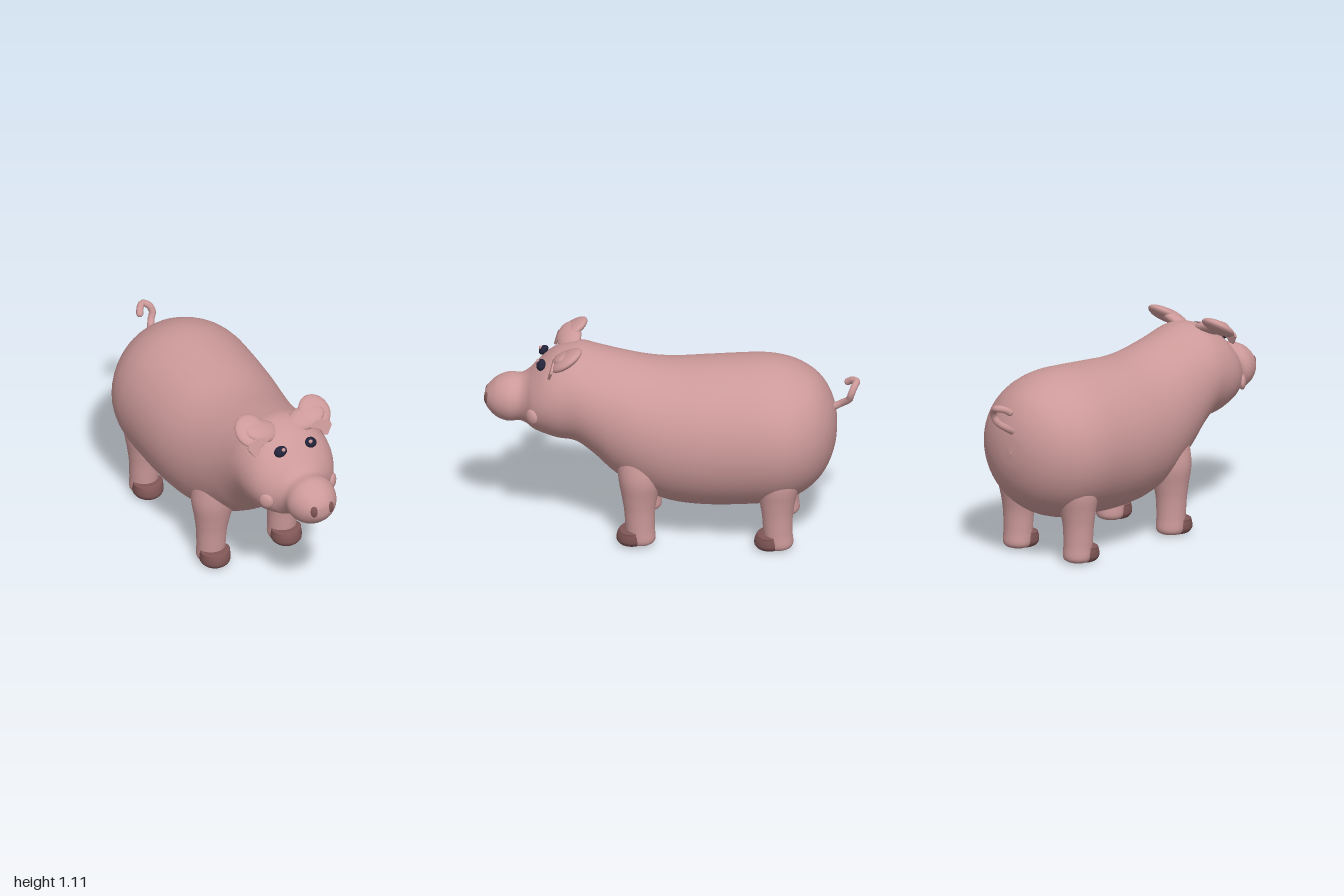
import * as THREE from 'three';

const mat = (name, color, side = THREE.FrontSide) => {
  const m = new THREE.MeshStandardMaterial({ color, side });
  m.name = name;
  return m;
};

// Smooth closed loft. Each key: [cx, cy, cz, ru, rv]; u and v span the ring, u x v points along the keys.
function loft(keys, u, v, rings, sides) {
  const centres = new THREE.CatmullRomCurve3(keys.map(k => new THREE.Vector3(k[0], k[1], k[2])), false, 'catmullrom', 0.5);
  const radii = new THREE.CatmullRomCurve3(keys.map(k => new THREE.Vector3(k[3], k[4], 0)), false, 'catmullrom', 0.5);
  const pos = [], index = [];
  for (let i = 0; i <= rings; i++) {
    const c = centres.getPoint(i / rings), r = radii.getPoint(i / rings);
    for (let j = 0; j < sides; j++) {
      const a = j / sides * Math.PI * 2;
      const p = c.clone().addScaledVector(u, r.x * Math.cos(a)).addScaledVector(v, r.y * Math.sin(a));
      pos.push(p.x, p.y, p.z);
      if (i < rings) {
        const n = (j + 1) % sides, a0 = i * sides + j, b0 = i * sides + n;
        index.push(a0, b0, b0 + sides, a0, b0 + sides, a0 + sides);
      }
    }
  }
  const g = new THREE.BufferGeometry();
  g.setAttribute('position', new THREE.Float32BufferAttribute(pos, 3));
  g.setIndex(index);
  g.computeVertexNormals();
  return g;
}

const X = new THREE.Vector3(1, 0, 0), Y = new THREE.Vector3(0, 1, 0), Z = new THREE.Vector3(0, 0, 1);

export function createModel() {
  const model = new THREE.Group();
  model.name = 'pig';
  const skin = mat('pink skin', 0xcc9999);
  const hoofMat = mat('dark hoof', 0x805656);
  const eyeMat = mat('eye navy', 0x23233a);

  const add = (name, geo, material) => {
    const m = new THREE.Mesh(geo, material);
    m.name = name;
    model.add(m);
    return m;
  };
  const blob = (name, material, p, s, r = [0, 0, 0]) => {
    const m = add(name, new THREE.SphereGeometry(1, 24, 16), material);
    m.position.set(...p);
    m.scale.set(...s);
    m.rotation.set(...r);
    return m;
  };

  // Body, neck, head and snout: [z, top, bottom, half width]
  const profile = [
    [-0.876, 0.621, 0.619, 0.001], [-0.865, 0.73, 0.52, 0.1], [-0.83, 0.825, 0.415, 0.2], [-0.77, 0.905, 0.325, 0.285],
    [-0.68, 0.962, 0.255, 0.355], [-0.58, 0.995, 0.215, 0.388], [-0.45, 1.005, 0.195, 0.397], [-0.2, 0.986, 0.18, 0.39],
    [0, 0.972, 0.195, 0.365], [0.15, 0.982, 0.25, 0.335], [0.3, 1.012, 0.345, 0.302], [0.4, 1.035, 0.44, 0.284],
    [0.5, 1.055, 0.515, 0.273], [0.6, 1.03, 0.532, 0.262], [0.67, 0.985, 0.553, 0.242], [0.73, 0.925, 0.575, 0.205],
    [0.77, 0.885, 0.6, 0.16], [0.81, 0.866, 0.612, 0.135], [0.87, 0.867, 0.606, 0.138], [0.93, 0.845, 0.625, 0.116],
    [0.975, 0.805, 0.665, 0.078], [0.996, 0.77, 0.7, 0.04], [1, 0.736, 0.734, 0.001],
  ];
  add('body', loft(profile.map(([z, t, b, w]) => [0, (t + b) / 2, z, w, (t - b) / 2]), X, Y, 110, 48), skin);

  for (const s of [1, -1]) {
    const side = s > 0 ? 'left' : 'right';

    // Legs flare into the body; each hoof caps the front of the foot
    for (const [end, z] of [['Front', 0.155], ['Back', -0.578]]) {
      const leg = [
        [0.215, 0.004, z, 0.001, 0.001], [0.215, 0.006, z, 0.05, 0.05], [0.215, 0.03, z - 0.006, 0.076, 0.075],
        [0.215, 0.1, z, 0.078, 0.078], [0.214, 0.2, z + 0.003, 0.083, 0.083], [0.21, 0.28, z + 0.003, 0.096, 0.096],
        [0.2, 0.4, z, 0.12, 0.12], [0.16, 0.55, z, 0.13, 0.13],
      ].map(([x, y, cz, rx, rz]) => [s * x, y, cz, rz, rx]);
      add(side + end + 'Leg', loft(leg, Z, X, 36, 28), skin);
      const h = z + 0.045;
      const hoof = [
        [0.001, 0.001, 0], [0.055, 0.055, 0.003], [0.08, 0.079, 0.025], [0.084, 0.08, 0.05],
        [0.082, 0.072, 0.075], [0.076, 0.055, 0.09], [0.001, 0.001, 0.092],
      ].map(([rx, rz, y]) => [s * 0.216, y, h, rz, rx]);
      add(side + end + 'Hoof', loft(hoof, Z, X, 24, 28), hoofMat);
    }

    // Ear, its root on the head and the small flap in front
    blob(side + 'Ear', skin, [s * 0.193, 1.05, 0.55], [0.088, 0.032, 0.098], [0.62, 0, 0]);
    blob(side + 'EarRoot', skin, [s * 0.13, 1.035, 0.56], [0.11, 0.035, 0.07], [0.45, 0, s * 0.3]);
    const flap = new THREE.Shape([
      [-0.065, 0.015], [-0.035, 0.04], [0.005, 0.042], [0.055, 0.012], [0.06, -0.005], [0.03, -0.052], [0.008, -0.045], [-0.006, -0.015],
    ].map(([x, y]) => new THREE.Vector2(s * x, y)));
    const f = add(side + 'EarFlap', new THREE.ExtrudeGeometry(flap, {
      depth: 0.008, bevelEnabled: true, bevelSize: 0.003, bevelThickness: 0.003, bevelSegments: 2,
    }), skin);
    f.position.set(s * 0.19, 0.998, 0.622);
    f.rotation.x = -0.3;

    // Face details
    blob(side + 'Eye', eyeMat, [s * 0.092, 0.97, 0.693], [0.036, 0.029, 0.022], [-0.6, s * 0.3, s * -0.25]);
    blob(side + 'EyeGlint', skin, [s * 0.082, 0.987, 0.709], [0.011, 0.011, 0.009]);
    blob(side + 'Cheek', skin, [s * 0.2, 0.713, 0.733], [0.04, 0.042, 0.02], [0, s * 0.85, 0]);
    blob(side + 'Nostril', hoofMat, [s * 0.05, 0.743, 0.985], [0.02, 0.033, 0.014], [0, s * 0.45, 0]);
  }

  // Curled tail with a rounded tip
  const path = new THREE.CatmullRomCurve3([
    [0, 0.73, -0.84], [0.006, 0.765, -0.9], [0.03, 0.8, -0.942], [0.045, 0.838, -0.955],
    [0.03, 0.875, -0.97], [0, 0.89, -0.98], [-0.03, 0.885, -0.955], [-0.045, 0.868, -0.93],
  ].map(p => new THREE.Vector3(...p)));
  add('tail', new THREE.TubeGeometry(path, 40, 0.019, 12), skin);
  blob('tailTip', skin, [-0.045, 0.868, -0.93], [0.019, 0.019, 0.019]);

  return model;
}
